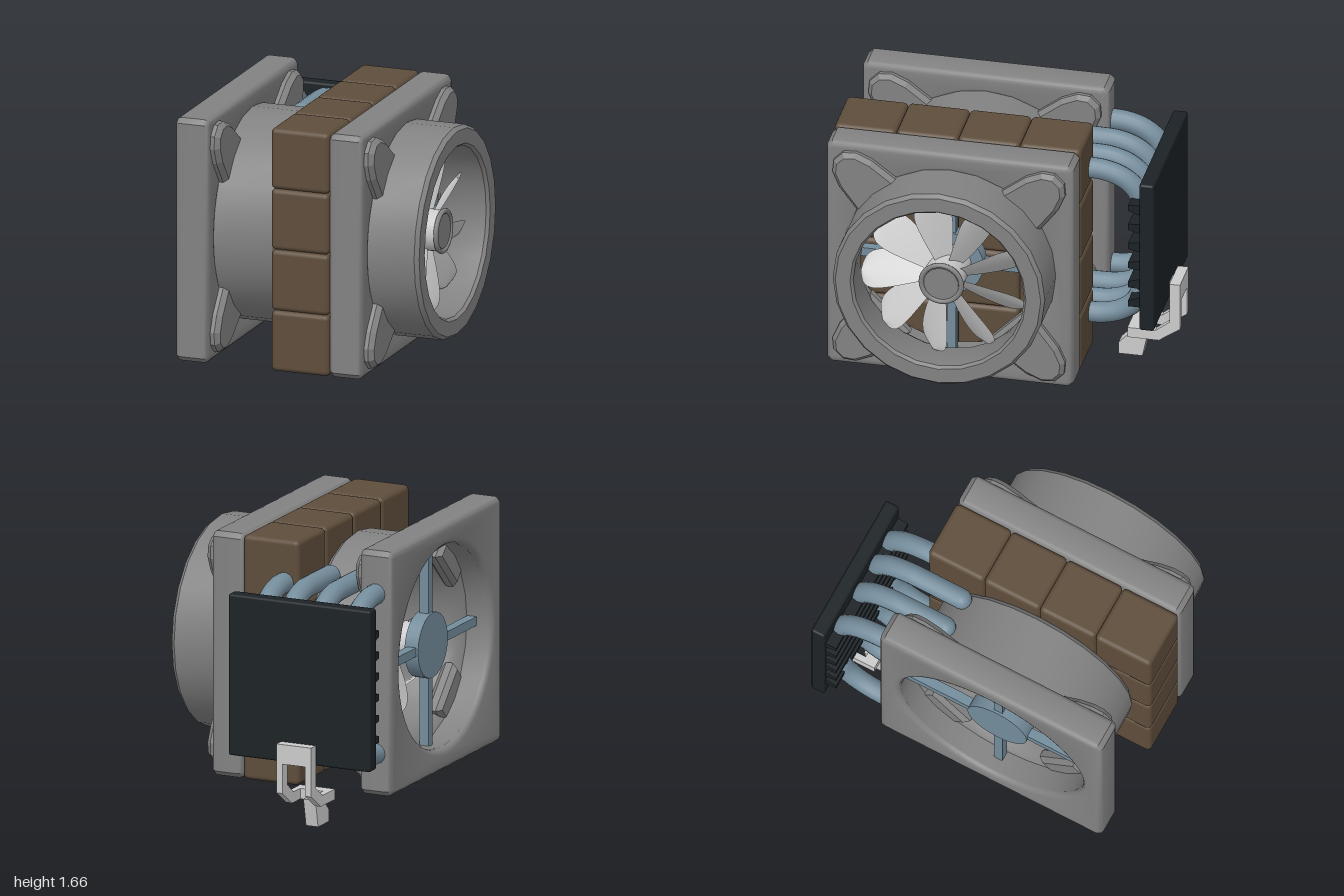
import * as THREE from 'three';
import { toCreasedNormals } from 'three/addons/utils/BufferGeometryUtils.js';
import { RoundedBoxGeometry } from 'three/addons/geometries/RoundedBoxGeometry.js';

const mat = (color, side = THREE.FrontSide) => new THREE.MeshStandardMaterial({ color, side });
const frameMat = mat(0x828282);
const bladeMat = mat(0xcccccc, THREE.DoubleSide);
const clipMat = mat(0xcccccc);
const brickMat = mat(0x5e4d3b);
const pipeMat = mat(0x748c9b);
const blackMat = mat(0x1c2226);

const CY = 0.91, CZ = 0.25; // shared fan axis

function add(parent, name, geo, material, x = 0, y = 0, z = 0) {
  const m = new THREE.Mesh(geo, material);
  m.name = name;
  m.position.set(x, y, z);
  parent.add(m);
  return m;
}

const shapeOf = (pts) => new THREE.Shape(pts.map(([x, y]) => new THREE.Vector2(x, y)));

// Side profile given as [z, y], swept along x from x0 to x1
function sweepX(pts, x0, x1) {
  const geo = new THREE.ExtrudeGeometry(shapeOf(pts.map(([z, y]) => [-z, y])),
    { depth: x1 - x0, bevelEnabled: false });
  return geo.rotateY(Math.PI / 2).translate(x0, 0, 0);
}

// Square plate with a round opening and softened edges
function plateGeometry() {
  const h = 0.75, c = 0.03, b = 0.035;
  const s = shapeOf([[-h + c, -h], [h - c, -h], [h, -h + c], [h, h - c],
    [h - c, h], [-h + c, h], [-h, h - c], [-h, -h + c]]);
  s.holes.push(new THREE.Path().absarc(0, 0, 0.62, 0, Math.PI * 2, true));
  const geo = new THREE.ExtrudeGeometry(s, {
    depth: 0.21 - 2 * b, bevelThickness: b, bevelSize: b, bevelOffset: -b, bevelSegments: 3, curveSegments: 24,
  });
  return toCreasedNormals(geo.translate(0, 0, b), 0.6);
}

// Duct: straight outside, tapering inside
function ductGeometry(depth) {
  const pts = [[0.645, 0.15], [0.645, depth - 0.025], [0.625, depth], [0.535, depth],
    [0.52, depth - 0.02], [0.53, 0.27], [0.57, 0.2], [0.62, 0.17], [0.62, 0.03]];
  const geo = new THREE.LatheGeometry(pts.map(([r, y]) => new THREE.Vector2(r, y)), 24);
  return toCreasedNormals(geo.rotateX(Math.PI / 2), 0.6);
}

// Corner pad lying along +x, with a chamfered rim
function padGeometry() {
  const half = [[0.5, 0.17], [0.62, 0.165], [0.8, 0.14], [0.9, 0.1], [0.95, 0.04]];
  const outline = [...half.map(([u, v]) => [u, -v]), ...half.slice().reverse()];
  const geo = new THREE.ExtrudeGeometry(shapeOf(outline), {
    depth: 0.045, bevelThickness: 0.03, bevelSize: 0.025, bevelOffset: -0.025, bevelSegments: 1,
  });
  return geo.translate(0, 0, 0.19);
}

// Pitched blade with a rounded tip, pointing along +y
function bladeGeometry() {
  const geo = new THREE.PlaneGeometry(1, 1, 6, 14);
  const p = geo.attributes.position;
  for (let i = 0; i < p.count; i++) {
    const u = p.getX(i);
    const v = 1 - (0.5 - p.getY(i)) ** 1.6 / 1; // denser rows near the tip
    const chord = (0.08 + 0.12 * Math.sin(v * Math.PI / 2)) * Math.sqrt(Math.max(0, 1 - v ** 9));
    const s = u * chord + 0.03 * v * v - 0.01;
    p.setXYZ(i, -s, 0.1 + 0.41 * v, u * chord * 0.85 + 0.02 * (1 - 4 * u * u) * v);
  }
  geo.computeVertexNormals();
  return geo;
}

const cylinderZ = (r, z0, z1, n = 24) =>
  new THREE.CylinderGeometry(r, r, z1 - z0, n).rotateX(Math.PI / 2).translate(0, 0, (z0 + z1) / 2);

// Complete fan, built facing +z and then turned to face +x
function createFan(name, depth) {
  const fan = new THREE.Group();
  fan.name = name;
  add(fan, 'fanPlate', plateGeometry(), frameMat);
  add(fan, 'fanDuct', ductGeometry(depth), frameMat);

  const pad = padGeometry(), blade = bladeGeometry();
  for (let i = 0; i < 4; i++) {
    add(fan, 'cornerPad', pad, frameMat).rotation.z = Math.PI / 4 + i * Math.PI / 2;
  }

  // Motor and its four struts
  add(fan, 'motorDisc', cylinderZ(0.2, 0.09, 0.18), pipeMat);
  for (let i = 0; i < 4; i++) {
    const strut = new THREE.BoxGeometry(0.48, 0.055, 0.06).translate(0.38, 0, 0.135);
    add(fan, 'motorStrut', strut, pipeMat).rotation.z = i * Math.PI / 2;
  }

  // Hub and rotor
  const front = depth - 0.09;
  add(fan, 'hub', cylinderZ(0.125, 0.17, front), bladeMat);
  add(fan, 'hubRim', new THREE.TorusGeometry(0.122, 0.016, 8, 28), frameMat, 0, 0, front);
  add(fan, 'hubCap', cylinderZ(0.105, front - 0.02, front + 0.006), frameMat);
  for (let i = 0; i < 9; i++) {
    add(fan, 'blade', blade, bladeMat, 0, 0, front - 0.11).rotation.z = THREE.MathUtils.degToRad(10 + i * 40);
  }
  fan.rotation.y = Math.PI / 2;
  return fan;
}

// Wall of rounded bricks between the fans
function createBricks() {
  const g = new THREE.Group();
  g.name = 'brickWall';
  const s = 0.375;
  const geo = new RoundedBoxGeometry(0.37, s, s, 3, 0.03);
  for (let i = 0; i < 4; i++) {
    for (let j = 0; j < 4; j++) {
      add(g, 'brick', geo, brickMat, 0.075, CY + (i - 1.5) * s, CZ + (j - 1.5) * s);
    }
  }
  return g;
}

// Finned black panel at the rear
function createPanel() {
  const g = new THREE.Group();
  g.name = 'heatSink';
  add(g, 'panel', new RoundedBoxGeometry(0.94, 0.99, 0.09, 2, 0.015), blackMat, -0.32, 0.915, -0.875);
  for (let i = 0; i < 6; i++) {
    const y = 0.6 + i * 0.124, lean = (i - 2.5) * 0.006;
    const profile = [[-0.84, y - 0.034], [-0.84, y + 0.034], [-0.76, y + 0.02 + lean], [-0.76, y - 0.02 + lean]];
    add(g, 'fin', sweepX(profile, -0.77, 0.13), blackMat);
  }
  return g;
}

// Upper and lower rows of bent heat pipes with domed ends
function createPipes() {
  const g = new THREE.Group();
  g.name = 'heatPipes';
  const side = [[0.49, -0.23], [0.49, -0.48], [0.485, -0.58], [0.45, -0.69], [0.385, -0.77], [0.28, -0.82]];
  for (const dir of [1, -1]) {
    for (const x of [-0.62, -0.385, -0.185, -0.015]) {
      const curve = new THREE.CatmullRomCurve3(
        side.map(([dy, z]) => new THREE.Vector3(x, CY + dir * dy, z)));
      add(g, 'heatPipe', new THREE.TubeGeometry(curve, 28, 0.063, 14), pipeMat);
      add(g, 'pipeEnd', new THREE.SphereGeometry(0.063, 14, 10), pipeMat, x, CY + dir * 0.49, -0.23);
    }
  }
  return g;
}

// Bent bracket hanging under the panel
function createClip() {
  const g = new THREE.Group();
  g.name = 'clip';
  const leg = [[-1, 0.55], [-1, 0.25], [-0.87, 0.16], [-0.68, 0.16], [-0.68, 0.225],
    [-0.85, 0.225], [-0.935, 0.29], [-0.935, 0.55]];
  add(g, 'clipLeg', sweepX(leg, -0.44, -0.4), clipMat);
  add(g, 'clipLeg', sweepX(leg, -0.25, -0.21), clipMat);
  add(g, 'clipTab', new THREE.BoxGeometry(0.15, 0.12, 0.065), clipMat, -0.325, 0.49, -0.9675);
  add(g, 'clipCrossbar', new THREE.BoxGeometry(0.15, 0.065, 0.08), clipMat, -0.325, 0.1925, -0.72);
  const lug = [[-0.94, 0.53], [-0.94, 0.44], [-0.915, 0.47], [-0.915, 0.52]];
  add(g, 'clipLug', sweepX(lug, -0.37, -0.28), clipMat);
  const foot = [[-0.61, 0], [-0.61, 0.075], [-0.7, 0.17], [-0.79, 0.17], [-0.755, 0]];
  add(g, 'clipFoot', sweepX(foot, -0.365, -0.285), clipMat);
  return g;
}

export function createModel() {
  const model = new THREE.Group();
  model.name = 'twinFanCooler';
  const rearFan = createFan('rightFan', 0.61);
  rearFan.position.set(-0.72, CY, CZ);
  const frontFan = createFan('leftFan', 0.53);
  frontFan.position.set(0.26, CY, CZ);
  model.add(rearFan, frontFan, createBricks(), createPanel(), createPipes(), createClip());
  return model;
}
